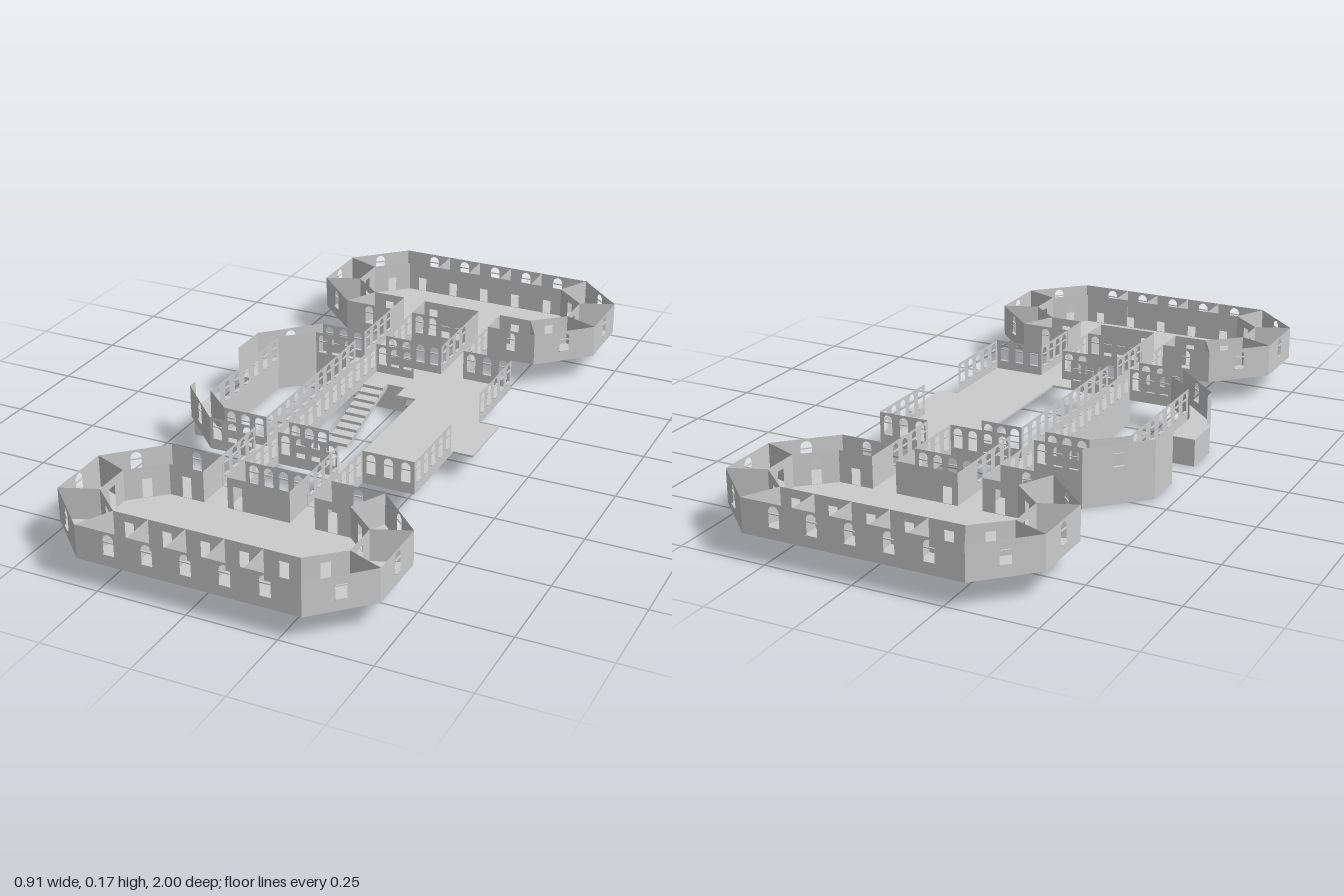
import * as THREE from 'three';

const FLOOR = 0.08, TOP = 0.17, SLAB = 0.006;
const mat = new THREE.MeshStandardMaterial({ color: 0xcccccc, flatShading: true, side: THREE.DoubleSide });

function add(parent, name, geometry) {
  const mesh = new THREE.Mesh(geometry, mat);
  mesh.name = name;
  parent.add(mesh);
  return mesh;
}

const shapeOf = pts => new THREE.Shape(pts.map(p => new THREE.Vector2(p[0], p[1])));

// Flat slab from an x/z outline
function slab(parent, name, pts, hole) {
  const shape = shapeOf(pts);
  if (hole) shape.holes.push(shapeOf(hole));
  const geo = new THREE.ExtrudeGeometry(shape, { depth: SLAB, bevelEnabled: false });
  add(parent, name, geo.rotateX(Math.PI / 2).translate(0, FLOOR, 0));
}

// Arched opening centred at u
function arch(u, w, bottom, top) {
  const p = new THREE.Path(), r = w / 2;
  p.moveTo(u - r, bottom);
  p.lineTo(u + r, bottom);
  p.lineTo(u + r, top - r);
  p.absarc(u, top - r, r, 0, Math.PI, false);
  p.lineTo(u - r, bottom);
  return p;
}

// Thin wall from a to b; at = opening centres along its length
function wall(parent, name, a, b, { at = [], door = false, w = 0.026, y0 = FLOOR - SLAB, y1 = TOP } = {}) {
  const dx = b[0] - a[0], dz = b[1] - a[1], len = Math.hypot(dx, dz);
  const g = new THREE.Group();
  g.name = name;
  g.position.set(a[0], 0, a[1]);
  g.rotation.y = Math.atan2(-dz, dx);
  const shape = shapeOf([[0, y0], [len, y0], [len, y1], [0, y1]]);
  for (const u of at) {
    if (door) {
      const r = w / 2;
      shape.holes.push(shapeOf([[u - r, 0.081], [u + r, 0.081], [u + r, 0.147], [u - r, 0.147]]));
    } else {
      shape.holes.push(arch(u, w, 0.107, 0.163));
      add(g, 'transom', new THREE.BoxGeometry(w, 0.003, 0.004).translate(u, 0.143, 0));
      add(g, 'sill', new THREE.BoxGeometry(w, 0.002, 0.008).translate(u, 0.107, 0));
    }
  }
  add(g, 'wallPanel', new THREE.ShapeGeometry(shape, 6));
  parent.add(g);
}

// n evenly spread openings over a wall from a to b
function row(parent, name, a, b, n, opts = {}) {
  const len = Math.hypot(b[0] - a[0], b[1] - a[1]);
  wall(parent, name, a, b, { ...opts, at: Array.from({ length: n }, (_, i) => len * (i + 0.5) / n) });
}

// Octagonal ward; s = +1 for the front one, -1 for the back one
function makeWard(s, zc) {
  const g = new THREE.Group();
  g.name = s > 0 ? 'frontWard' : 'backWard';
  const P = (x, z) => [x, zc + s * z];
  const xs = [-0.215, -0.107, 0, 0.107, 0.215];
  slab(g, 'wardFloor', [[-0.31, -0.232], [0.31, -0.232], [0.445, -0.095], [0.445, 0.095],
    [0.31, 0.232], [-0.31, 0.232], [-0.445, 0.095], [-0.445, -0.095]].map(p => P(...p)));

  // Far side: outer windows, inner doors
  wall(g, 'farWall', P(-0.31, 0.232), P(0.31, 0.232), { at: xs.map(x => x + 0.31), w: 0.03 });
  wall(g, 'farRoomWall', P(-0.26, 0.135), P(0.26, 0.135), { at: xs.map(x => x + 0.26), door: true });
  for (const x of [-0.16, -0.054, 0.054, 0.16]) wall(g, 'partition', P(x, 0.135), P(x, 0.232));

  // Near side, broken by the two corridor mouths
  wall(g, 'nearWallCentre', P(-0.09, -0.232), P(0.09, -0.232), { at: [0.025, 0.068, 0.112, 0.155] });
  wall(g, 'nearRoomCentre', P(-0.09, -0.135), P(0.09, -0.135), { at: [0.03], door: true });

  for (const m of [-1, 1]) {
    row(g, 'nearWall', P(m * 0.16, -0.232), P(m * 0.31, -0.232), 1);
    row(g, 'nearRoomWall', P(m * 0.16, -0.135), P(m * 0.26, -0.135), 1, { door: true });
    wall(g, 'partition', P(m * 0.09, -0.135), P(m * 0.09, -0.232));
    wall(g, 'partition', P(m * 0.16, -0.135), P(m * 0.16, -0.232));
    row(g, 'endWall', P(m * 0.45, -0.095), P(m * 0.45, 0.095), 1, { w: 0.03 });
    row(g, 'endRoomWall', P(m * 0.35, -0.055), P(m * 0.35, 0.055), 1, { door: true });
    for (const k of [-1, 1]) {
      row(g, 'cornerWall', P(m * 0.31, k * 0.232), P(m * 0.45, k * 0.095), 1, { w: 0.03 });
      row(g, 'cornerRoomWall', P(m * 0.26, k * 0.135), P(m * 0.35, k * 0.055), 1, { door: true });
      wall(g, 'partition', P(m * 0.26, k * 0.135), P(m * 0.31, k * 0.232));
      wall(g, 'partition', P(m * 0.35, k * 0.055), P(m * 0.45, k * 0.095));
    }
  }
  return g;
}

function makeCentre() {
  const g = new THREE.Group();
  g.name = 'centralBlock';
  const low = { y0: 0, y1: FLOOR };

  // Floor with hall, porch, two angled wings and a stair well
  slab(g, 'centralFloor', [[0.31, -0.345], [0.31, -0.1], [0.37, -0.1], [0.37, 0.09], [0.31, 0.09],
    [0.31, 0.345], [-0.3, 0.345], [-0.445, 0.2], [-0.455, 0.17], [-0.455, 0.056], [-0.38, 0.056],
    [-0.38, 0.2], [-0.29, 0.28], [-0.16, 0.28], [-0.16, -0.28], [-0.29, -0.28], [-0.38, -0.2],
    [-0.38, -0.08], [-0.445, -0.08], [-0.445, -0.2], [-0.3, -0.345]],
  [[-0.09, -0.215], [0.03, -0.215], [0.03, -0.16], [0.09, -0.16], [0.09, 0.28], [-0.09, 0.28]]);

  // Hall, corridor and wing walls, mirrored front to back
  for (const s of [-1, 1]) {
    const end = s > 0 ? 0.525 : 0.54;
    for (const m of [-1, 1]) {
      const a = m * 0.09, b = m * 0.16, z0 = s * 0.345, z1 = s * end;
      slab(g, 'corridorFloor', [[a, z0], [b, z0], [b, z1], [a, z1]]);
      row(g, 'corridorWall', [a, z0], [a, z1], 4);
      row(g, 'corridorWall', [b, z0], [b, z1], 4);
    }
    row(g, 'hallEndWall', [0.16, s * 0.345], [0.31, s * 0.345], 3);
    row(g, 'hallSideWall', [0.31, s * 0.345], [0.31, s * 0.1], 5);
    row(g, 'linkWall', [-0.09, s * 0.345], [0.09, s * 0.345], 4);
    row(g, 'courtEndWall', [-0.09, s * 0.28], [0.03, s * 0.28], 3);
    row(g, 'wingOuterWall', [-0.16, s * 0.345], [-0.3, s * 0.345], 3);
    row(g, 'wingOuterCorner', [-0.3, s * 0.345], [-0.445, s * 0.2], 1, { w: 0.03 });
    wall(g, 'wingEndWall', [-0.445, s * 0.2], [-0.445, s * (s > 0 ? 0.17 : 0.08)]);
    row(g, 'wingInnerWall', [-0.16, s * 0.28], [-0.29, s * 0.28], 3);
    wall(g, 'wingInnerCorner', [-0.29, s * 0.28], [-0.38, s * 0.2]);
  }
  row(g, 'courtWall', [-0.09, -0.28], [-0.09, 0.28], 11);
  row(g, 'courtWall', [-0.16, -0.28], [-0.16, 0.28], 11);
  row(g, 'galleryWall', [-0.375, -0.2], [-0.375, 0.2], 7);

  // Lower storey walls
  const lower = (name, pts) => {
    for (let i = 1; i < pts.length; i++) wall(g, name, pts[i - 1], pts[i], low);
  };
  lower('lowerCourtWall', [[-0.16, 0.286], [-0.16, -0.28]]);
  lower('lowerInnerWall', [[-0.16, -0.28], [-0.29, -0.28], [-0.38, -0.2], [-0.38, 0.17]]);
  lower('lowerOuterWall', [[-0.16, -0.345], [-0.3, -0.345], [-0.445, -0.2], [-0.445, -0.08], [-0.38, -0.08]]);
  lower('lowerPorch', [[-0.38, 0.17], [-0.455, 0.17], [-0.455, 0.056], [-0.38, 0.056]]);
  lower('stairBackWall', [[-0.09, -0.216], [0.035, -0.216]]);

  // Stair: sawtooth top, sloped underside
  const n = 9, run = 0.272 / n, rise = FLOOR / n, pts = [[0, 0]];
  for (let i = 0; i < n; i++) pts.push([i * run, (i + 1) * rise], [(i + 1) * run, (i + 1) * rise]);
  pts.push([n * run, FLOOR - 0.012], [0.03, 0]);
  const stair = new THREE.ExtrudeGeometry(shapeOf(pts), { depth: 0.065, bevelEnabled: false });
  add(g, 'stair', stair.rotateY(Math.PI / 2).translate(-0.09, 0, 0.056));
  return g;
}

export function createModel() {
  const model = new THREE.Group();
  model.name = 'buildingFloor';
  model.add(makeWard(1, 0.759), makeWard(-1, -0.768), makeCentre());
  return model;
}
